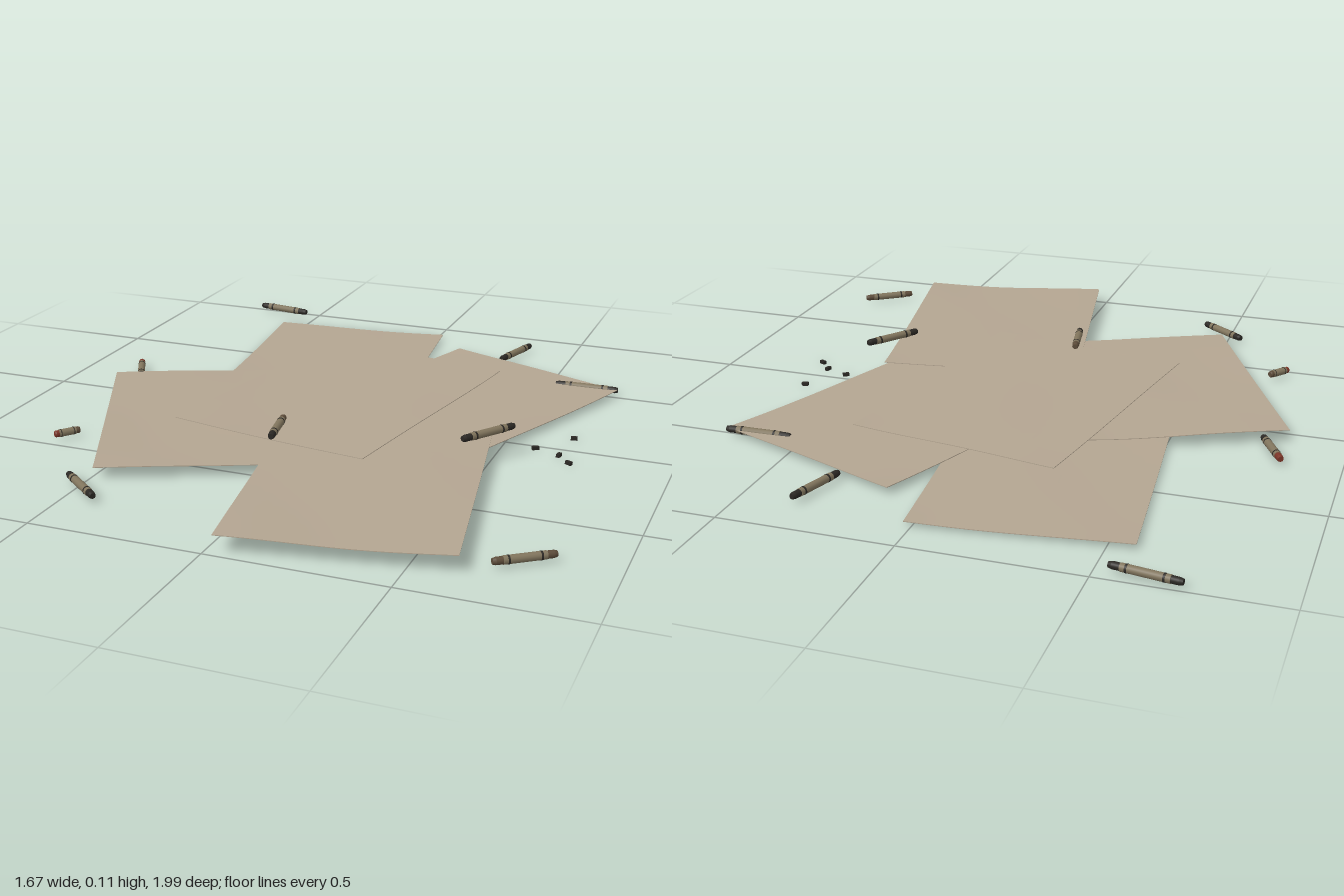
import * as THREE from 'three';

const mat = (name, color, side = THREE.FrontSide) => {
  const m = new THREE.MeshStandardMaterial({ color, side });
  m.name = name;
  return m;
};

export function createModel() {
  const group = new THREE.Group();
  const paper = mat('paper', 0xb3a591);
  const wrapper = mat('wrapperTan', 0x81755d);
  const black = mat('blackWax', 0x2b2824);
  const brown = mat('brownWax', 0x5d4c3a);
  const red = mat('redWax', 0x7c3527);

  // Loose sheets, lowest first: x, z, turn, width, length, height, wave phase
  const sheets = [
    ['backSheet', -0.233, -0.457, 0.107, 0.597, 0.815, 0.012, 0.4],
    ['rightSheet', 0.272, -0.219, -0.368, 0.64, 0.87, 0.023, 1.6],
    ['leftSheet', -0.386, 0.191, 0.433, 0.6, 0.815, 0.035, 2.8],
    ['frontSheet', 0.251, 0.524, 0.183, 0.613, 0.833, 0.047, 4.0],
    ['topSheet', -0.035, -0.072, -0.167, 0.64, 0.885, 0.06, 5.2],
  ];
  for (const [name, x, z, turn, w, l, y, phase] of sheets) {
    const geo = new THREE.BoxGeometry(w, 0.002, l, 14, 1, 18);
    const p = geo.attributes.position;
    for (let i = 0; i < p.count; i++) {
      const u = p.getX(i) / w, v = p.getZ(i) / l;
      // gentle ripple plus slightly lifted corners
      const wave = 0.003 * Math.sin(u * 6 + phase) * Math.cos(v * 5 + phase);
      p.setY(i, p.getY(i) + wave + 0.05 * u * u * v * v);
    }
    geo.computeVertexNormals();
    const sheet = new THREE.Mesh(geo, paper);
    sheet.name = name;
    sheet.position.set(x, y, z);
    sheet.rotation.y = turn;
    group.add(sheet);
  }

  // A crayon runs from (x0, z0) to (x1, z1): waxed ends, wrapper and dark bands
  const R = 0.0115;
  function crayon(name, x0, z0, x1, z1, y, startMat, endMat) {
    const len = Math.hypot(x1 - x0, z1 - z0);
    const c = new THREE.Group();
    c.name = name;
    const piece = (part, from, to, r0, r1, m) => {
      const mesh = new THREE.Mesh(new THREE.CylinderGeometry(r1, r0, (to - from) * len, 12), m);
      mesh.name = part;
      mesh.position.y = ((from + to) / 2 - 0.5) * len;
      c.add(mesh);
    };
    piece('startTip', 0, 0.05, R * 0.7, R * 0.9, startMat);
    piece('startWax', 0.05, 0.16, R * 0.9, R * 0.9, startMat);
    piece('wrapper', 0.16, 0.84, R, R, wrapper);
    piece('endWax', 0.84, 0.95, R * 0.9, R * 0.9, endMat);
    piece('endTip', 0.95, 1, R * 0.9, R * 0.7, endMat);
    for (const t of [0.23, 0.74]) piece('band', t, t + 0.03, R * 1.05, R * 1.05, black);
    c.position.set((x0 + x1) / 2, y, (z0 + z1) / 2);
    c.quaternion.setFromUnitVectors(
      new THREE.Vector3(0, 1, 0),
      new THREE.Vector3(x1 - x0, 0, z1 - z0).normalize());
    group.add(c);
  }
  const low = 0.022, high = 0.095;
  const crayons = [
    [-0.727, -0.99, -0.537, -0.96, low, black, black],
    [0.347, -0.865, 0.294, -0.69, low, black, black],
    [0.527, -0.51, 0.727, -0.514, low, black, black],
    [-0.832, -0.228, -0.76, -0.088, low, red, black],
    [-0.696, 0.408, -0.743, 0.47, low, brown, red],
    [-0.547, 0.715, -0.406, 0.826, low, black, black],
    [-0.093, 0.27, -0.064, 0.428, high, brown, black],
    [0.548, 0.096, 0.442, 0.25, high, black, black],
    [0.83, 0.72, 0.694, 0.82, low, brown, brown],
  ];
  crayons.forEach((c, i) => crayon('crayon' + (i + 1), ...c));

  // Broken wax crumbs
  [[0.685, -0.09, 0.2], [0.597, 0.025, 0.6], [0.674, 0.055, 1.4], [0.714, 0.103, -0.5]].forEach(([x, z, turn]) => {
    const crumb = new THREE.Mesh(new THREE.BoxGeometry(0.02, 0.01, 0.011), black);
    crumb.name = 'crumb';
    crumb.position.set(x, 0.007, z);
    crumb.rotation.y = turn;
    group.add(crumb);
  });

  return group;
}
